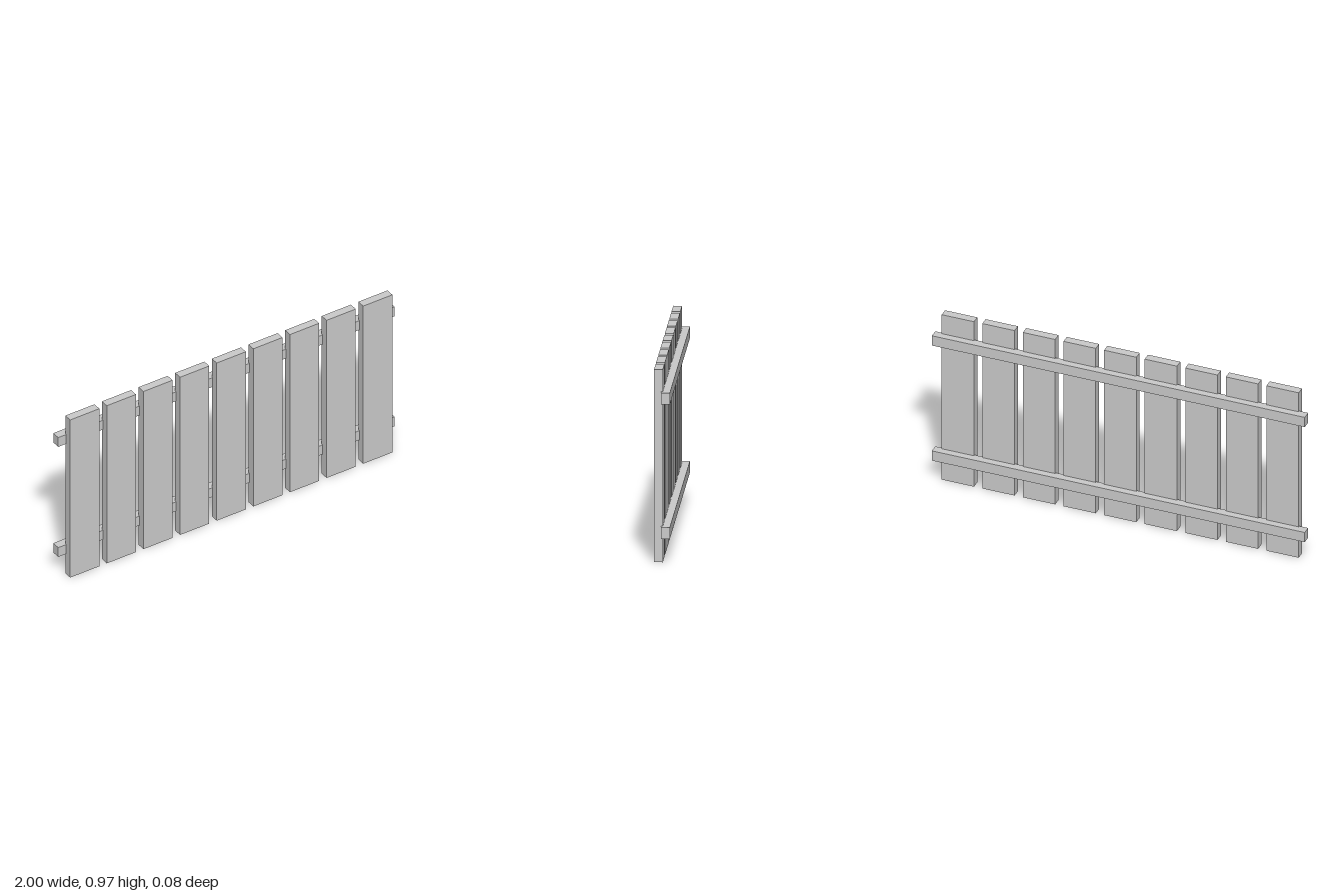
import * as THREE from 'three';

const material = new THREE.MeshStandardMaterial({ color: 0xcccccc, flatShading: true });

function addBox(group, name, size, position) {
  const mesh = new THREE.Mesh(new THREE.BoxGeometry(...size), material);
  mesh.name = name;
  mesh.position.set(...position);
  group.add(mesh);
}

export function createModel() {
  const fence = new THREE.Group();
  fence.name = 'fence';

  // Nine upright planks, evenly spaced along the front
  const height = 0.97, count = 9, spacing = 0.2177, firstX = -0.866;
  for (let i = 0; i < count; i++) {
    addBox(fence, `plank${i + 1}`, [0.173, height, 0.044], [firstX + i * spacing, height / 2, 0.019]);
  }

  // Two horizontal rails, let slightly into the back of the planks
  const rails = { lowerRail: 0.153, upperRail: 0.83 };
  for (const [name, y] of Object.entries(rails)) {
    addBox(fence, name, [2, 0.057, 0.045], [0, y, -0.0175]);
  }

  return fence;
}
